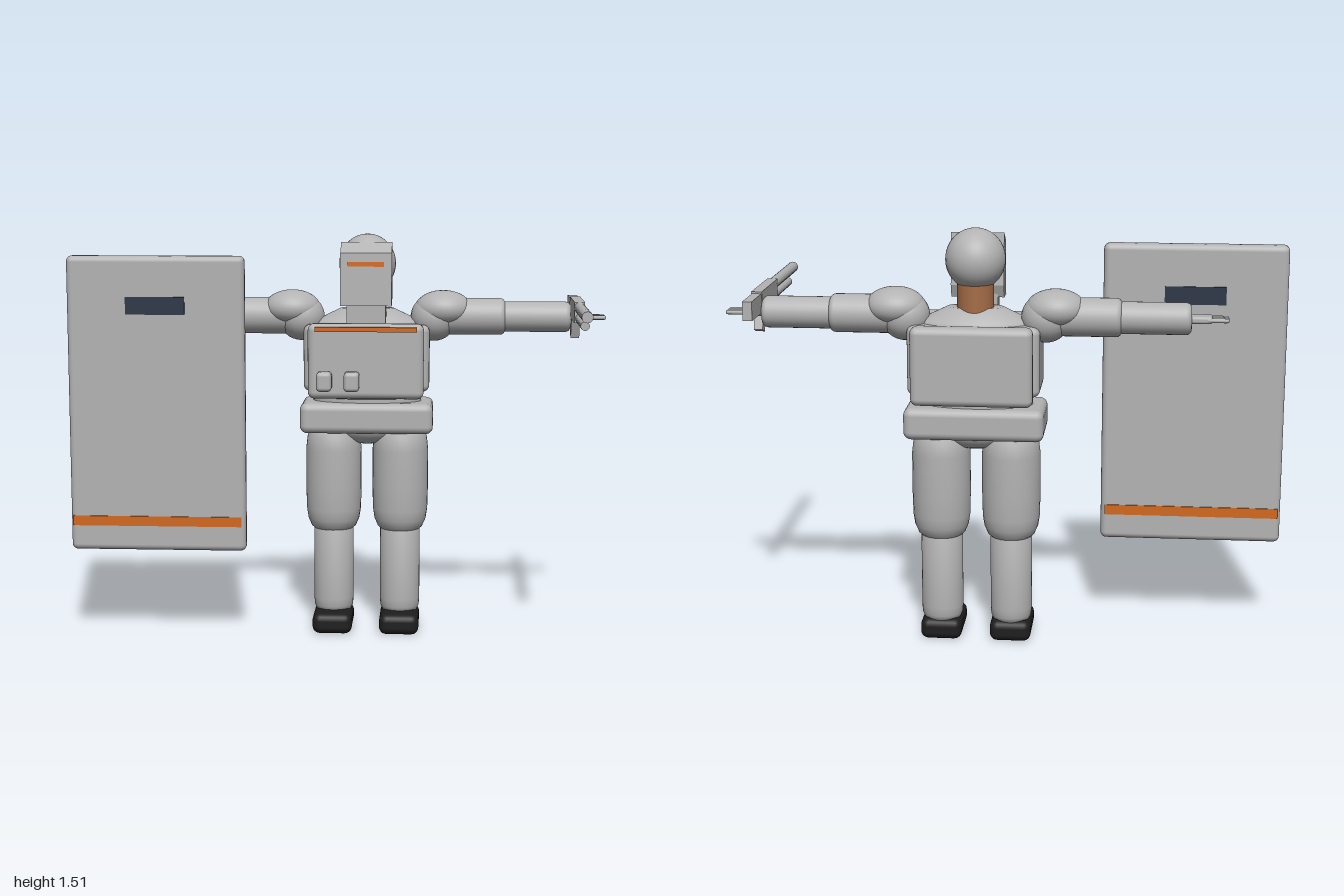
import * as THREE from 'three';
import { RoundedBoxGeometry } from 'three/addons/geometries/RoundedBoxGeometry.js';

const mat = (name, color) => {
  const m = new THREE.MeshStandardMaterial({ color });
  m.name = name;
  return m;
};

export function createModel() {
  const armor = mat('armorGrey', 0xb3b3b3);
  const orange = mat('orange', 0xd2691e);
  const glass = mat('darkGlass', 0x2c3646);
  const black = mat('bootBlack', 0x1e1e1e);
  const skin = mat('skin', 0xa56c46);

  const root = new THREE.Group();
  root.name = 'shieldTrooper';
  // Body axis
  const CX = 0.105, CZ = -0.205;

  const add = (name, geo, material, x = 0, y = 0, z = 0, parent = root) => {
    const m = new THREE.Mesh(geo, material);
    m.name = name;
    m.position.set(x, y, z);
    parent.add(m);
    return m;
  };
  // Box from its limits, rounded when r > 0
  const box = (name, material, [x0, x1], [y0, y1], [z0, z1], r = 0, parent = root) => {
    const s = [x1 - x0, y1 - y0, z1 - z0];
    const geo = r ? new RoundedBoxGeometry(...s, 3, r) : new THREE.BoxGeometry(...s);
    return add(name, geo, material, (x0 + x1) / 2, (y0 + y1) / 2, (z0 + z1) / 2, parent);
  };
  const lathe = (pts, seg = 32) =>
    new THREE.LatheGeometry(pts.map(p => new THREE.Vector2(p[0], p[1])), seg);
  // Cylinder with a rounded edge at both ends, centred on the origin
  const roundedCylinder = (r, h, b) => {
    const pts = [[0, -h / 2]];
    for (const s of [-1, 1]) {
      for (let i = 0; i <= 4; i++) {
        const a = (s < 0 ? i : 4 - i) / 4 * Math.PI / 2;
        pts.push([r - b + b * Math.sin(a), s * (h / 2 - b + b * Math.cos(a))]);
      }
    }
    pts.push([0, h / 2]);
    return lathe(pts);
  };

  // Shield with viewing slot and stripe showing on both sides
  box('shield', armor, [-1, -0.34], [0.335, 1.44], [-0.052, 0.01], 0.022);
  for (const [side, z] of [['Front', 0.011], ['Back', -0.053]]) {
    box('shieldWindow' + side, glass, [-0.78, -0.56], [1.225, 1.29], [z - 0.003, z + 0.003]);
    box('shieldStripe' + side, orange, [-0.99, -0.355], [0.43, 0.467], [z - 0.003, z + 0.003]);
  }

  // Head and neck
  add('head', new THREE.SphereGeometry(0.11, 32, 24), armor, CX, 1.404, -0.2).scale.set(0.97, 1, 1.02);
  add('neck', new THREE.CylinderGeometry(0.066, 0.066, 0.15, 32), skin, CX, 1.265, CZ);

  // Face visor: side profile (z, y) extruded across the face
  const profile = new THREE.Shape([
    [-0.062, 1.45], [-0.127, 1.487], [-0.147, 1.3], [-0.13, 1.255], [-0.055, 1.255],
  ].map(p => new THREE.Vector2(...p)));
  const visorGeo = new THREE.ExtrudeGeometry(profile, { depth: 0.19, bevelEnabled: false });
  visorGeo.rotateY(-Math.PI / 2);
  add('visor', visorGeo, armor, CX + 0.095);
  const stripe = box('visorStripe', orange, [0.038, 0.172], [1.4, 1.417], [-0.062, -0.055]);
  stripe.rotation.x = -0.03;
  box('visorChin', armor, [0.033, 0.178], [1.19, 1.3], [-0.135, -0.064]);

  // Torso
  const yoke = add('shoulderYoke', lathe([
    [0, 0.9], [0.2, 0.9], [0.22, 1.0], [0.22, 1.165], [0.195, 1.19], [0.1, 1.236], [0, 1.236],
  ]), armor, CX, 0, CZ);
  yoke.scale.z = 0.52;
  box('chestCore', armor, [-0.13, 0.34], [0.93, 1.18], [-0.315, -0.09], 0.025);
  box('chestPlate', armor, [-0.11, 0.32], [0.91, 1.19], [-0.095, -0.025], 0.025);
  box('backPlate', armor, [-0.11, 0.32], [0.91, 1.19], [-0.39, -0.315], 0.025);
  box('chestStripe', orange, [-0.082, 0.295], [1.163, 1.18], [-0.029, -0.012]);
  for (const x of [-0.075, 0.027]) {
    box('chestPouch', armor, [x, x + 0.057], [0.945, 1.017], [-0.028, 0.035], 0.015);
  }
  add('waist', new THREE.CylinderGeometry(0.205, 0.205, 0.16, 32), armor, CX, 0.9, CZ).scale.z = 0.48;
  box('belt', armor, [-0.145, 0.355], [0.77, 0.885], [-0.33, -0.08], 0.028);
  add('pelvis', new THREE.SphereGeometry(0.12, 24, 16), armor, CX, 0.79, CZ).scale.set(1.2, 0.6, 0.8);

  // Legs
  const thigh = lathe([
    [0, 0.385], [0.07, 0.387], [0.085, 0.4], [0.098, 0.43], [0.104, 0.47],
    [0.106, 0.55], [0.106, 0.7], [0.1, 0.75], [0.08, 0.79], [0, 0.8],
  ]);
  const shin = lathe([[0, 0.06], [0.066, 0.07], [0.074, 0.09], [0.076, 0.12], [0.076, 0.42], [0, 0.42]]);
  for (const [side, s] of [['left', 1], ['right', -1]]) {
    const leg = new THREE.Group();
    leg.name = side + 'Leg';
    leg.position.set(CX + s * 0.127, 0, CZ);
    root.add(leg);
    add('thigh', thigh, armor, 0, 0, 0, leg);
    add('shin', shin, armor, 0, 0, 0, leg);
    box('boot', black, [-0.075, 0.075], [0, 0.078], [-0.078, 0.145], 0.028, leg);
  }

  // Arms stretched sideways; offsets are measured from the body axis
  for (const [side, s] of [['left', 1], ['right', -1]]) {
    const arm = new THREE.Group();
    arm.name = side + 'Arm';
    arm.position.set(CX, 1.205, -0.21);
    root.add(arm);
    add('shoulderPad', new THREE.SphereGeometry(1, 32, 20), armor, s * 0.285, 0.03, 0, arm)
      .scale.set(0.107, 0.068, 0.096);
    add('shoulderJoint', new THREE.SphereGeometry(0.088, 24, 16), armor, s * 0.25, -0.005, 0, arm);
    add('upperArm', roundedCylinder(0.069, 0.32, 0.02), armor, s * 0.358, 0, 0, arm).rotation.z = Math.PI / 2;
    add('forearm', roundedCylinder(0.057, 0.28, 0.02), armor, s * 0.622, 0, 0, arm).rotation.z = Math.PI / 2;
    add('palm', new RoundedBoxGeometry(0.1, 0.026, 0.064, 2, 0.01), armor, s * 0.785, 0, 0, arm);
    for (let i = 0; i < 4; i++) {
      add('finger', new THREE.CapsuleGeometry(0.008, 0.065, 4, 10), armor,
        s * 0.852, 0, -0.026 + i * 0.0173, arm).rotation.z = Math.PI / 2;
    }
    const thumb = add('thumb', new THREE.CapsuleGeometry(0.009, 0.035, 4, 10), armor,
      s * 0.78, -0.002, 0.04, arm);
    thumb.rotation.set(0, s * -0.7, Math.PI / 2);
  }

  // Long gun held in the left hand, pointing forward
  const gun = new THREE.Group();
  gun.name = 'gun';
  gun.position.x = 0.884;
  root.add(gun);
  box('receiver', armor, [-0.019, 0.019], [1.205, 1.28], [-0.235, 0.025], 0, gun);
  box('stock', armor, [-0.017, 0.017], [1.205, 1.273], [-0.387, -0.235], 0, gun);
  const tube = (name, r, y, z0, z1) => {
    add(name, new THREE.CylinderGeometry(r, r, z1 - z0, 20), armor, 0, y, (z0 + z1) / 2, gun)
      .rotation.x = Math.PI / 2;
  };
  tube('barrel', 0.02, 1.26, 0.02, 0.392);
  tube('magazineTube', 0.016, 1.22, 0.02, 0.295);
  const grip = box('grip', armor, [-0.016, 0.016], [1.132, 1.22], [-0.215, -0.175], 0, gun);
  grip.rotation.x = 0.35;

  return root;
}
